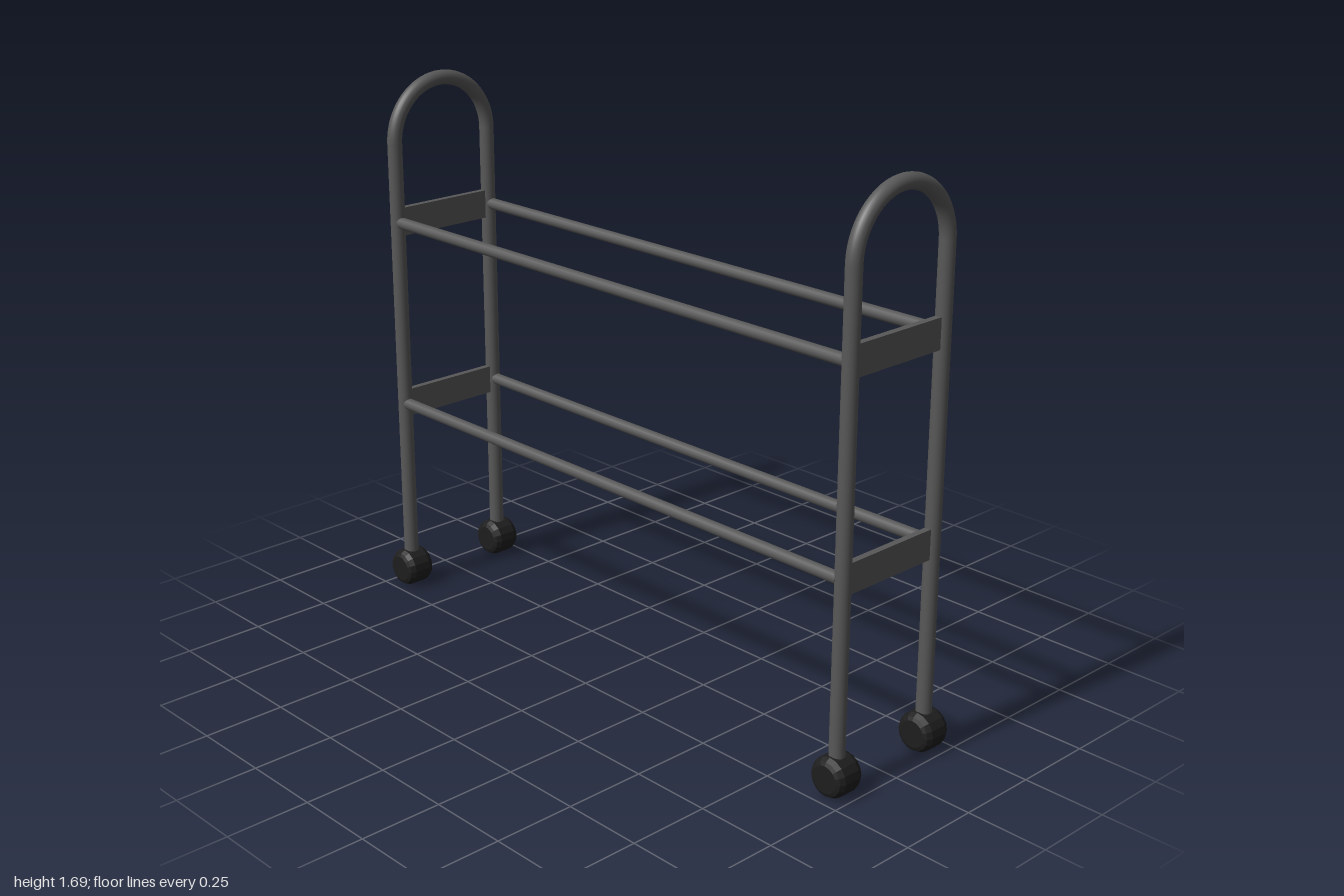
import * as THREE from 'three';

export function createModel() {
  const model = new THREE.Group();
  model.name = 'rollingRack';

  const metal = new THREE.MeshStandardMaterial({ color: 0x585858 });
  metal.name = 'dark grey metal';
  const rubber = new THREE.MeshStandardMaterial({ color: 0x1e1e1e });
  rubber.name = 'black rubber';

  const X = 0.94, Z = 0.182;         // post positions
  const archBase = 1.482, footY = 0.08;
  const tubeR = 0.023, rodR = 0.018;
  const shelves = [0.632, 1.232];

  const add = (parent, name, geometry, material, x, y, z) => {
    const mesh = new THREE.Mesh(geometry, material);
    mesh.name = name;
    mesh.position.set(x, y, z);
    parent.add(mesh);
    return mesh;
  };

  // Shared geometries
  const postGeo = new THREE.CylinderGeometry(tubeR, tubeR, archBase - footY, 20);
  const archGeo = new THREE.TorusGeometry(Z, tubeR, 20, 40, Math.PI).rotateY(Math.PI / 2);
  const plateGeo = new THREE.BoxGeometry(0.02, 0.09, 2 * Z - 0.02);
  const rodGeo = new THREE.CylinderGeometry(rodR, rodR, 1.85, 16).rotateZ(Math.PI / 2);

  // Chunky wheel with bevelled rims, axle along z
  const rim = [[0, -0.048], [0.041, -0.048], [0.052, -0.043], [0.06, -0.028],
    [0.06, 0.028], [0.052, 0.043], [0.041, 0.048], [0, 0.048]];
  const wheelGeo = new THREE.LatheGeometry(rim.map(([r, h]) => new THREE.Vector2(r, h)), 16)
    .toNonIndexed().rotateX(Math.PI / 2);
  wheelGeo.computeVertexNormals();

  // End frames: two posts joined by an arch, with cross plates and wheels
  for (const side of [-1, 1]) {
    const frame = new THREE.Group();
    frame.name = side > 0 ? 'leftEndFrame' : 'rightEndFrame';
    frame.position.x = side * X;
    model.add(frame);
    add(frame, 'topArch', archGeo, metal, 0, archBase, 0);
    for (const y of shelves) add(frame, 'crossPlate', plateGeo, metal, 0, y, 0);
    for (const end of [-1, 1]) {
      const where = end > 0 ? 'front' : 'back';
      add(frame, where + 'Post', postGeo, metal, 0, (archBase + footY) / 2, end * Z);
      add(frame, where + 'Wheel', wheelGeo, rubber, 0, 0.06, end * Z);
    }
  }

  // Long shelf rods between the end frames
  for (const y of shelves) {
    for (const end of [-1, 1]) {
      add(model, end > 0 ? 'frontRod' : 'backRod', rodGeo, metal, 0, y, end * Z);
    }
  }

  return model;
}
